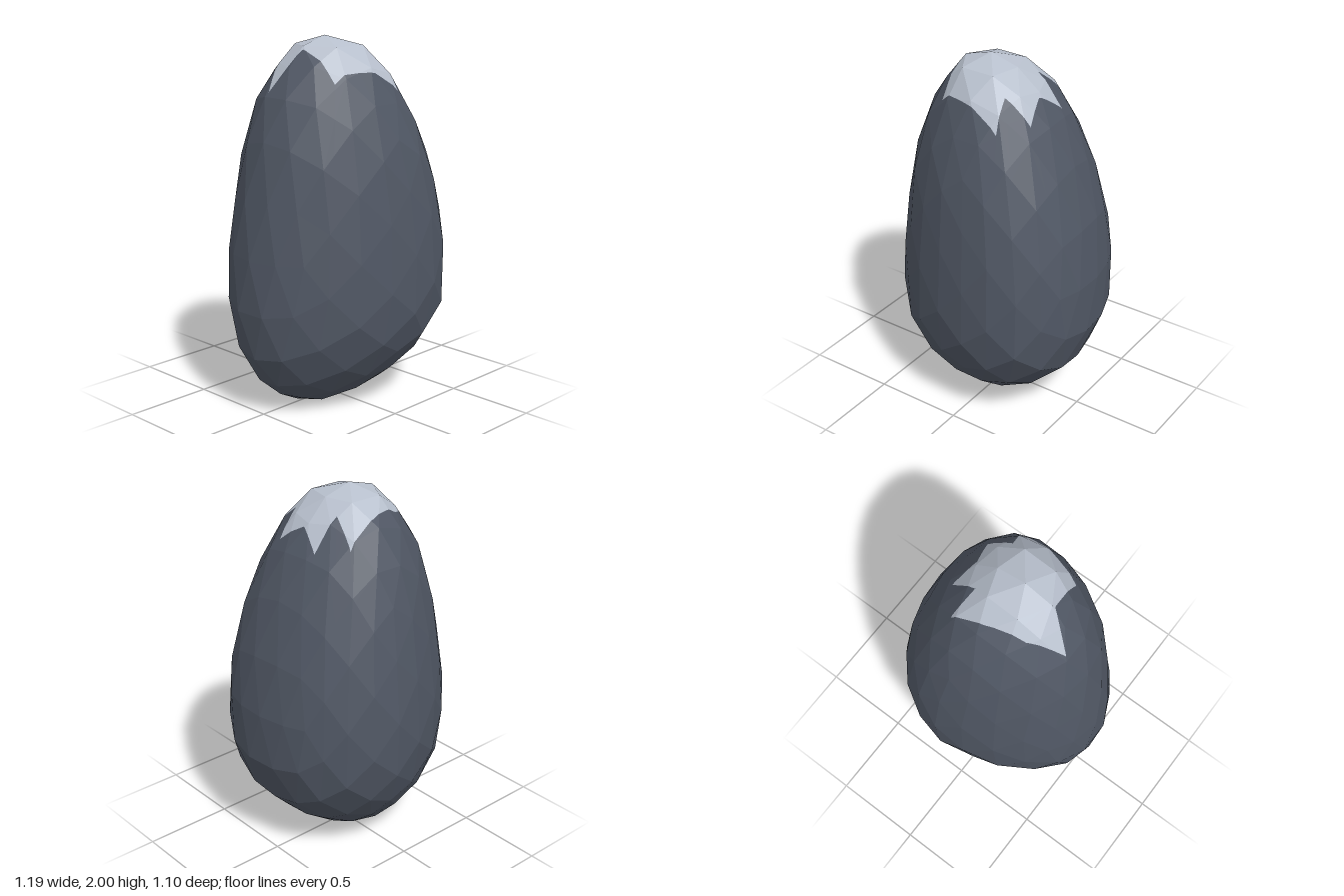
import * as THREE from 'three';

// Height, then extent of the stone at that height: left, right, back, front
const PROFILE = [
  [0, -0.07, -0.07, 0.04, 0.04],
  [0.025, -0.28, 0.06, -0.13, 0.14],
  [0.07, -0.36, 0.19, -0.21, 0.22],
  [0.15, -0.465, 0.315, -0.30, 0.32],
  [0.25, -0.53, 0.43, -0.38, 0.405],
  [0.35, -0.572, 0.51, -0.45, 0.47],
  [0.47, -0.588, 0.575, -0.51, 0.53],
  [0.6, -0.598, 0.596, -0.543, 0.546],
  [0.9, -0.578, 0.59, -0.545, 0.538],
  [1.1, -0.55, 0.56, -0.52, 0.518],
  [1.38, -0.507, 0.48, -0.465, 0.475],
  [1.6, -0.44, 0.385, -0.4, 0.41],
  [1.7, -0.4, 0.33, -0.36, 0.365],
  [1.83, -0.315, 0.24, -0.28, 0.31],
  [1.95, -0.235, 0.12, -0.15, 0.21],
  [2, -0.06, -0.06, 0.03, 0.03],
];

// Jagged edge of the pale cap in plan (x, z), going round its centre
const CENTRE = [0, 0.05];
const EDGE = [
  [0.285, 0.18], [0.15, 0.21], [0.18, 0.33], [0, 0.31], [-0.21, 0.25], [-0.23, 0.04], [-0.38, -0.06],
  [-0.21, -0.16], [0, -0.22], [0.18, -0.25], [0.14, -0.1], [0.29, -0.1], [0.24, 0.04],
];

function extentAt(y) {
  let i = 1;
  while (i < PROFILE.length - 1 && PROFILE[i][0] < y) i++;
  const a = PROFILE[i - 1], b = PROFILE[i];
  const t = THREE.MathUtils.clamp((y - a[0]) / (b[0] - a[0]), 0, 1);
  return a.map((v, k) => v + (b[k] - v) * t);
}

// Moves a unit sphere point onto the stone: facets crowd towards the base,
// and the plan is fuller towards +x, most of all at the front
function shape(p) {
  const y = 1 + p.y - 0.13 * (1 - p.y) ** 2 * (1 + p.y);
  const [, left, right, back, front] = extentAt(y);
  const a = Math.atan2(p.z, p.x);
  const c = Math.cos(a), s = Math.sin(a);
  const swell = 1.01 + 0.08 * s * Math.max(0, c);
  return new THREE.Vector3(
    (left + right) / 2 + swell * (c + 0.17 * s * s) * (right - left) / 2, y,
    (back + front) / 2 + swell * s * (front - back) / 2);
}

// Keeps the part of a polygon on one side of the plan line a-b
function clip(poly, a, b, sign = 1) {
  const side = (p) => sign * ((b[0] - a[0]) * (p.z - a[1]) - (b[1] - a[1]) * (p.x - a[0]));
  const out = [];
  poly.forEach((p, i) => {
    const q = poly[(i + 1) % poly.length];
    const sp = side(p), sq = side(q);
    if (sp >= 0) out.push(p);
    if (sp * sq < 0) out.push(p.clone().lerp(q, sp / (sp - sq)));
  });
  return out;
}

function addPolygon(target, poly) {
  for (let i = 1; i < poly.length - 1; i++) {
    const tri = new THREE.Triangle(poly[0], poly[i], poly[i + 1]);
    if (tri.getArea() > 1e-7) for (const p of [tri.a, tri.b, tri.c]) target.push(p.x, p.y, p.z);
  }
}

function makeMesh(name, positions, material) {
  const geometry = new THREE.BufferGeometry();
  geometry.setAttribute('position', new THREE.Float32BufferAttribute(positions, 3));
  geometry.computeVertexNormals(); // unshared corners give flat facets
  const mesh = new THREE.Mesh(geometry, material);
  mesh.name = name;
  return mesh;
}

export function createModel() {
  const slate = new THREE.MeshStandardMaterial({ color: 0x505764 });
  slate.name = 'slate';
  const paleGrey = new THREE.MeshStandardMaterial({ color: 0xb8c0cd });
  paleGrey.name = 'pale grey';

  const sphere = new THREE.IcosahedronGeometry(1, 3).getAttribute('position');
  const stone = [], cap = [];
  for (let i = 0; i < sphere.count; i += 3) {
    const tri = [0, 1, 2].map((k) => shape(new THREE.Vector3().fromBufferAttribute(sphere, i + k)));
    if (Math.max(...tri.map((p) => p.y)) < 1.6) {
      addPolygon(stone, tri);
      continue;
    }
    // Cut upper facets along the cap edge, one wedge at a time
    EDGE.forEach((p, k) => {
      const q = EDGE[(k + 1) % EDGE.length];
      const wedge = clip(clip(tri, CENTRE, p), q, CENTRE);
      addPolygon(cap, clip(wedge, p, q));
      addPolygon(stone, clip(wedge, p, q, -1));
    });
  }

  const group = new THREE.Group();
  group.name = 'cappedBoulder';
  group.add(makeMesh('boulder', stone, slate), makeMesh('paleCap', cap, paleGrey));
  return group;
}
